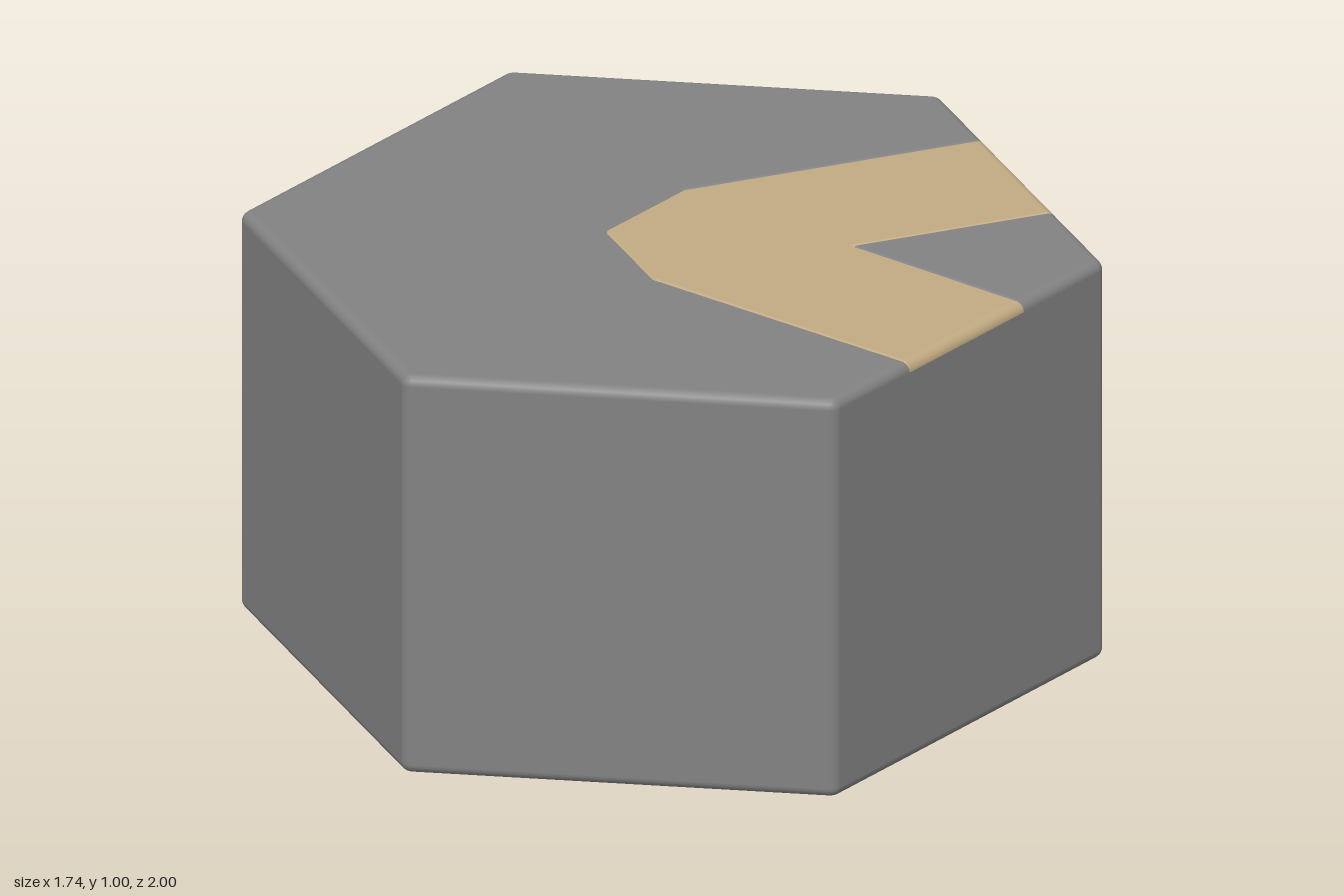
import * as THREE from 'three';

const APOTHEM = 0.87, CORNER = 0.03, EDGE = 0.025, GROOVE = 0.006;
const TOP = 1.005, SEAM = TOP - EDGE, STEPS = 5;

// Hexagon corners, counter-clockwise seen from above, as [x, z]
const hex = Array.from({ length: 6 }, (_, i) => {
  const a = -(i + 0.5) * Math.PI / 3, r = APOTHEM / Math.cos(Math.PI / 6);
  return [r * Math.cos(a), r * Math.sin(a)];
});

// Replaces every hexagon corner with a small arc of points that carry their normal
function roundCorners(points) {
  return points.flatMap(([x, z]) => {
    const d = Math.hypot(x, z);
    if (d < 1) return [{ x, z }];
    const a = Math.atan2(z, x), c = d - CORNER / Math.cos(Math.PI / 6);
    return [0, 1, 2, 3, 4].map((i) => {
      const b = a + Math.PI / 6 - i * Math.PI / 12, normal = [Math.cos(b), Math.sin(b)];
      return {
        x: c * Math.cos(a) + CORNER * normal[0],
        z: c * Math.sin(a) + CORNER * normal[1],
        normal,
      };
    });
  });
}

// Outer edges get a wide bevel, edges along the path a narrow one
function bevelWidth(x, z) {
  let reach = 0;
  for (let i = 0; i < 6; i++) {
    const a = i * Math.PI / 3;
    reach = Math.max(reach, x * Math.cos(a) + z * Math.sin(a));
  }
  return reach > APOTHEM - 0.01 ? EDGE : GROOVE;
}

// Outward normal and bevel width of each outline edge
function outlineEdges(points) {
  return points.map((p, i) => {
    const q = points[(i + 1) % points.length], l = Math.hypot(q.x - p.x, q.z - p.z);
    return {
      normal: [(p.z - q.z) / l, (q.x - p.x) / l],
      width: bevelWidth((p.x + q.x) / 2, (p.z + q.z) / 2),
    };
  });
}

// Lofts an outline through rings of [height, inset, vertical normal], and caps both ends
function loft(outline, rings) {
  const points = roundCorners(outline), edges = outlineEdges(points), n = points.length;
  const position = [], normal = [];
  const loops = rings.map(([y, k]) => points.map(({ x, z }, i) => {
    const a = edges[(i + n - 1) % n], b = edges[i];
    const [ax, az] = a.normal, [bx, bz] = b.normal, det = ax * bz - az * bx;
    const da = -k * a.width, db = -k * b.width;
    return [x + (da * bz - db * az) / det, y, z + (ax * db - bx * da) / det];
  }));

  // Walls and bevels
  const corner = (r, i, edge) => {
    const [nx, nz] = points[i].normal ?? edge.normal, ny = rings[r][2];
    const h = Math.sqrt(1 - ny * ny);
    position.push(...loops[r][i]);
    normal.push(nx * h, ny, nz * h);
  };
  for (let r = 0; r + 1 < rings.length; r++) {
    edges.forEach((edge, i) => {
      const j = (i + 1) % n;
      for (const [s, t] of [[r, i], [r, j], [r + 1, j], [r, i], [r + 1, j], [r + 1, i]]) corner(s, t, edge);
    });
  }

  // Flat caps
  const cap = (loop, ny) => {
    const flat = loop.map(([x, , z]) => new THREE.Vector2(x, -z));
    for (const [a, b, c] of THREE.ShapeUtils.triangulateShape(flat, [])) {
      const [p, q, s] = [loop[a], loop[b], loop[c]];
      const turn = (q[2] - p[2]) * (s[0] - p[0]) - (q[0] - p[0]) * (s[2] - p[2]);
      position.push(...p, ...(turn * ny > 0 ? [...q, ...s] : [...s, ...q]));
      normal.push(0, ny, 0, 0, ny, 0, 0, ny, 0);
    }
  };
  cap(loops[0], -1);
  cap(loops[loops.length - 1], 1);

  const geo = new THREE.BufferGeometry();
  geo.setAttribute('position', new THREE.Float32BufferAttribute(position, 3));
  geo.setAttribute('normal', new THREE.Float32BufferAttribute(normal, 3));
  return geo;
}

export function createModel() {
  const group = new THREE.Group();
  const stone = new THREE.MeshStandardMaterial({ color: 0x828282 });
  const sand = new THREE.MeshStandardMaterial({ color: 0xc2ab83 });
  const add = (name, geo, material) => {
    const mesh = new THREE.Mesh(geo, material);
    mesh.name = name;
    group.add(mesh);
  };

  // Quarter-round bevel profile shared by all edges
  const arc = Array.from({ length: STEPS + 1 }, (_, i) => {
    const t = i / STEPS * Math.PI / 2;
    return [Math.sin(t), 1 - Math.cos(t)];
  });
  const topRings = arc.map(([s, k]) => [SEAM + EDGE * s, k, s]);
  const bottomRings = arc.map(([s, k]) => [EDGE * (1 - s), k, -s]).reverse();

  // Hexagonal block up to the surface layer
  add('tileBody', loft(hex, [...bottomRings, [SEAM, 0, 0]]), stone);

  // Bent path from the left side to the front-left side
  const pathOuter = [[0.87, -0.228], [0.12, -0.228], [-0.13, -0.085], [-0.13, 0.21], [0.24, 0.866]];
  const pathInner = [[0.61, 0.652], [0.365, 0.207], [0.87, 0.207]];
  add('path', loft([...pathOuter, ...pathInner], topRings), sand);

  // Ground on either side of the path
  add('groundOuter', loft([...hex.slice(0, 5), ...[...pathOuter].reverse()], topRings), stone);
  add('groundInner', loft([...[...pathInner].reverse(), hex[5]], topRings), stone);

  return group;
}
